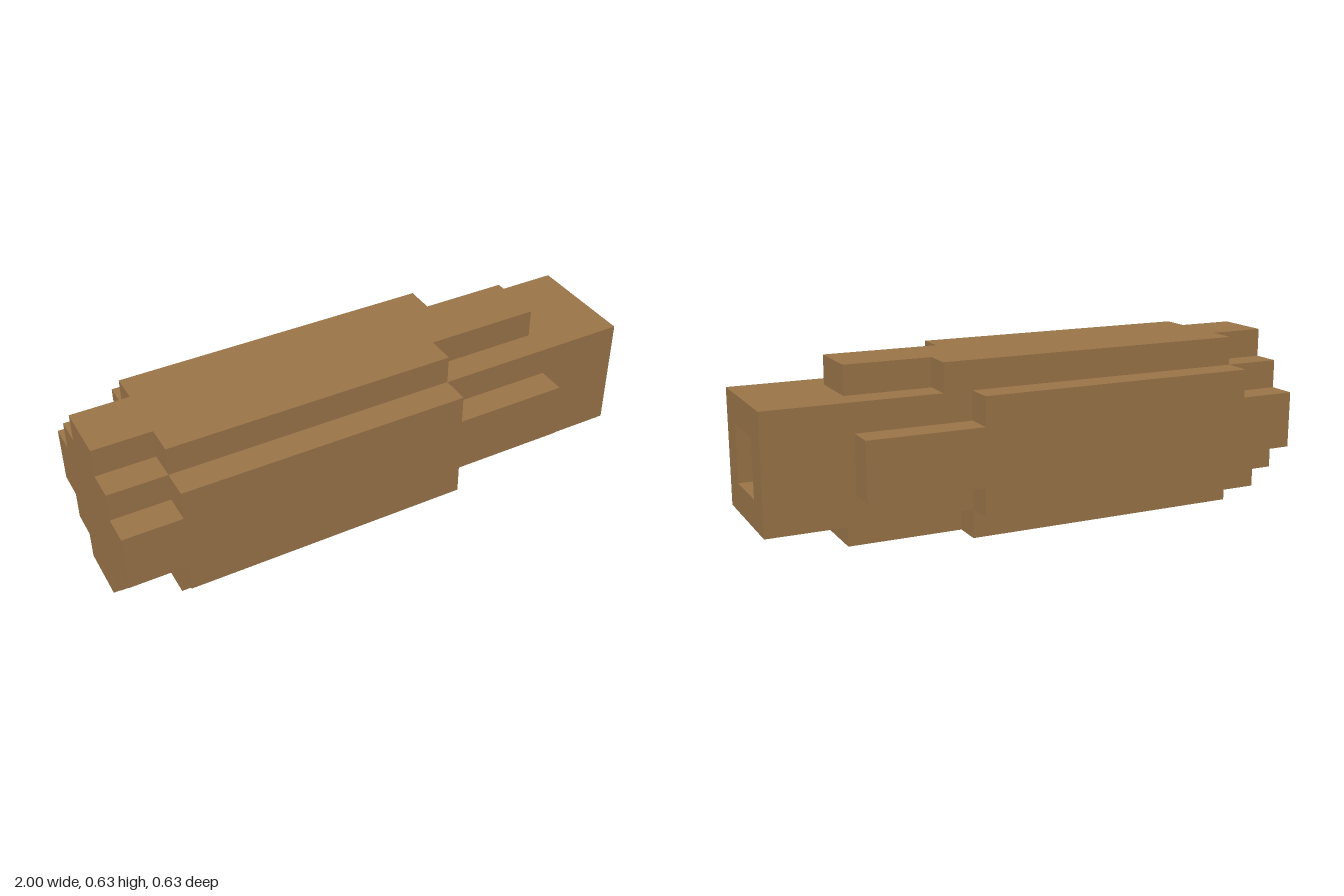
import * as THREE from 'three';

const U = 2 / 19; // grid unit: the model is 19 units long, 6 units thick

const wood = new THREE.MeshStandardMaterial({ color: 0x9c7549 });
wood.name = 'brownWood';

const square = (Type, h) => new Type([
  new THREE.Vector2(-h, -h), new THREE.Vector2(h, -h),
  new THREE.Vector2(h, h), new THREE.Vector2(-h, h),
]);

// Raised plate with narrow ends; upperStep is where its +y shoulder stops
function plateGeometry(upperStep) {
  const outline = [
    [0, -1], [2, -1], [2, -2], [12, -2], [12, -1], [16, -1],
    [16, 1], [upperStep, 1], [upperStep, 2], [2, 2], [2, 1], [0, 1],
  ].map(([x, y]) => new THREE.Vector2(x * U - 1, y * U));
  const geo = new THREE.ExtrudeGeometry(new THREE.Shape(outline), { depth: U, bevelEnabled: false });
  return geo.translate(0, 0, 2 * U);
}

export function createModel() {
  const model = new THREE.Group();
  model.name = 'steppedBeam';
  const add = (name, geo) => {
    const mesh = new THREE.Mesh(geo, wood);
    mesh.name = name;
    mesh.position.y = 3 * U;
    model.add(mesh);
    return mesh;
  };

  // Square core: solid body, then a hollow end with a square socket
  const socketDepth = 3 * U;
  const solid = 2 - socketDepth;
  add('coreBody', new THREE.BoxGeometry(solid, 4 * U, 4 * U).translate(-1 + solid / 2, 0, 0));

  const ring = square(THREE.Shape, 2 * U);
  ring.holes.push(square(THREE.Path, U));
  add('socketEnd', new THREE.ExtrudeGeometry(ring, { depth: socketDepth, bevelEnabled: false })
    .rotateY(Math.PI / 2).translate(1 - socketDepth, 0, 0));

  // Four plates around the core; the top one has a longer rear shoulder
  ['frontPlate', 'topPlate', 'backPlate', 'bottomPlate'].forEach((name, i) => {
    const plate = add(name, plateGeometry(name === 'topPlate' ? 13 : 12));
    plate.rotation.x = -i * Math.PI / 2;
  });

  return model;
}
